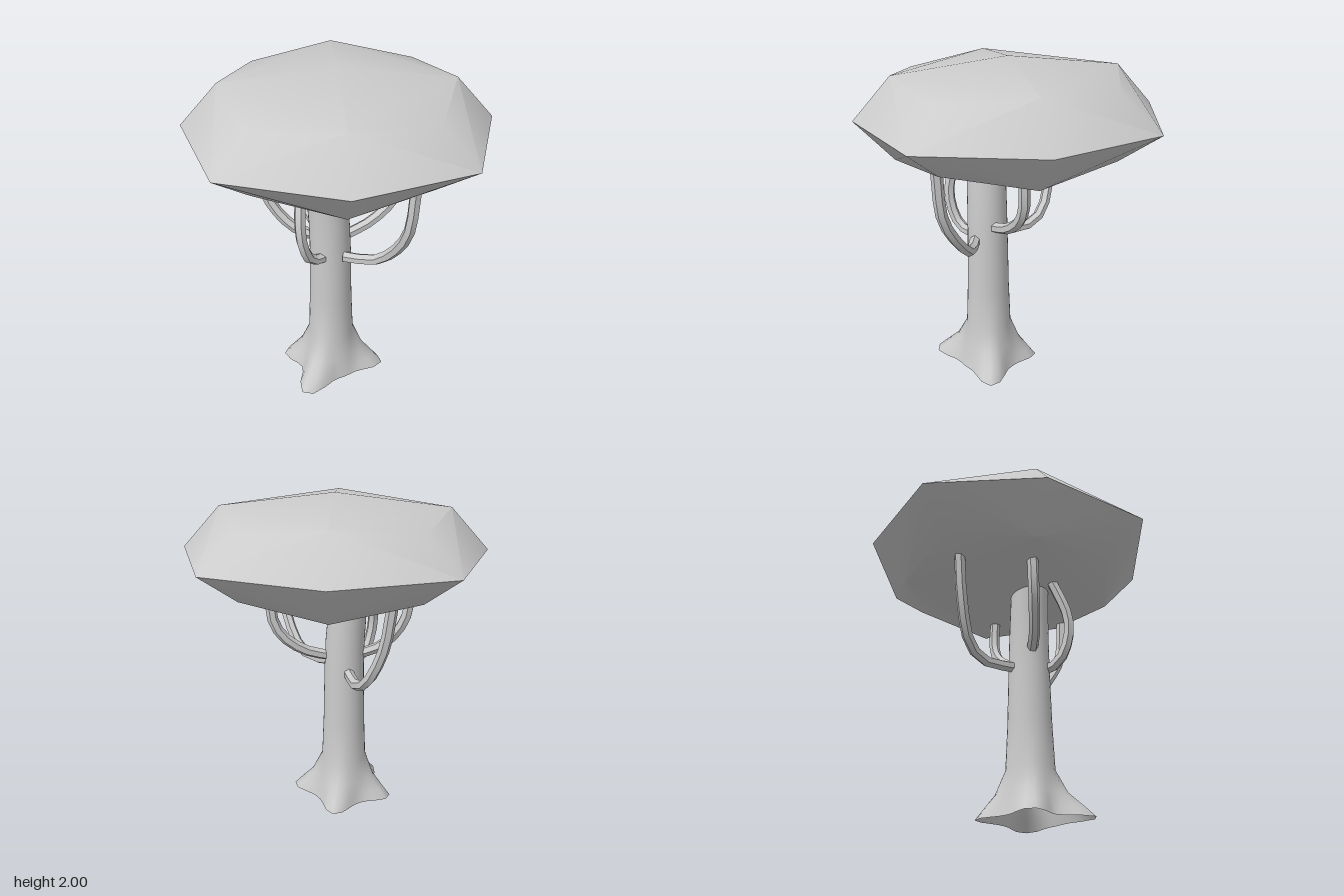
import * as THREE from 'three';
import { mergeVertices, toCreasedNormals } from 'three/addons/utils/BufferGeometryUtils.js';
import { ConvexGeometry } from 'three/addons/geometries/ConvexGeometry.js';

const grey = new THREE.MeshStandardMaterial({ color: 0xcccccc, side: THREE.DoubleSide });

// Canopy: a once-subdivided cube puffed into a squashed, eight-sided cushion
function makeCanopy() {
  const points = [];
  const spread = [0, 0.873, 0.655, 0.485];
  const rise = [0, 0.315, 0.238, 0.18];
  for (let x = -1; x <= 1; x++)
    for (let y = -1; y <= 1; y++)
      for (let z = -1; z <= 1; z++) {
        const n = Math.abs(x) + Math.abs(y) + Math.abs(z);
        if (n) points.push(new THREE.Vector3(x * spread[n], 1.685 + y * rise[n], z * spread[n]));
      }
  return toCreasedNormals(new ConvexGeometry(points), 0.6);
}

// Trunk: stacked rings that flare into four uneven roots and lean at the top
const roots = [ // angle in degrees, extra reach at the ground
  [10, 0.14], [120, 0.17], [195, 0.12], [280, 0.11],
];
const rings = [ // y, radius, root strength, centre x
  [0, 0.2, 1, -0.055], [0.06, 0.185, 0.72, -0.055], [0.14, 0.17, 0.28, -0.055],
  [0.28, 0.142, 0, -0.055], [0.55, 0.131, 0, -0.055], [0.9, 0.124, 0, -0.055],
  [1.08, 0.121, 0, -0.06], [1.25, 0.118, 0, -0.072], [1.45, 0.116, 0, -0.095],
];
function makeTrunk() {
  const sides = 32, pos = [], index = [];
  rings.forEach(([y, radius, strength, cx], r) => {
    for (let s = 0; s < sides; s++) {
      const a = (s / sides) * Math.PI * 2;
      let reach = radius;
      for (const [deg, extra] of roots) {
        const d = a - THREE.MathUtils.degToRad(deg);
        const off = Math.atan2(Math.sin(d), Math.cos(d));
        reach += strength * extra * Math.exp(-(off * off) / 0.13);
      }
      pos.push(cx + Math.cos(a) * reach, y, 0.115 + Math.sin(a) * reach);
      if (r < rings.length - 1) {
        const i = r * sides + s, j = r * sides + ((s + 1) % sides);
        index.push(i, i + sides, j, j, i + sides, j + sides);
      }
    }
  });
  const geo = new THREE.BufferGeometry();
  geo.setAttribute('position', new THREE.Float32BufferAttribute(pos, 3));
  geo.setIndex(index);
  geo.computeVertexNormals();
  return geo;
}

// Branches: capped six-sided limbs that leave the trunk and turn up into the canopy
const branchPaths = [
  [[0.02, 0.9, 0.21], [0.18, 0.91, 0.27], [0.26, 0.98, 0.33], [0.35, 1.2, 0.45], [0.375, 1.53, 0.48]],
  [[-0.09, 0.9, 0.2], [-0.17, 0.92, 0.26], [-0.22, 1.05, 0.31], [-0.235, 1.2, 0.31], [-0.22, 1.44, 0.22]],
  [[0.03, 0.98, 0.1], [0.18, 1.03, 0.05], [0.31, 1.13, 0.01], [0.37, 1.24, 0], [0.385, 1.48, 0.01]],
  [[-0.08, 0.9, 0.03], [-0.14, 0.9, -0.18], [-0.2, 0.97, -0.28], [-0.29, 1.2, -0.35], [-0.33, 1.48, -0.38]],
  [[-0.13, 0.99, 0.11], [-0.26, 1.04, 0.09], [-0.37, 1.15, 0.06], [-0.43, 1.27, 0.04], [-0.45, 1.48, 0.03]],
];
function makeBranch(path) {
  const hexagon = new THREE.Shape();
  for (let i = 0; i < 6; i++) {
    const a = (i / 6) * Math.PI * 2;
    hexagon[i ? 'lineTo' : 'moveTo'](Math.cos(a) * 0.033, Math.sin(a) * 0.033);
  }
  hexagon.closePath();
  const curve = new THREE.CatmullRomCurve3(path.map((p) => new THREE.Vector3(...p)));
  const geo = new THREE.ExtrudeGeometry(hexagon, { steps: 9, extrudePath: curve, bevelEnabled: false });
  geo.deleteAttribute('uv');
  geo.deleteAttribute('normal');
  return toCreasedNormals(mergeVertices(geo), 0.6);
}

export function createModel() {
  const tree = new THREE.Group();
  tree.name = 'tree';
  const add = (geometry, name) => {
    const mesh = new THREE.Mesh(geometry, grey);
    mesh.name = name;
    tree.add(mesh);
  };
  add(makeCanopy(), 'canopy');
  add(makeTrunk(), 'trunk');
  branchPaths.forEach((path, i) => add(makeBranch(path), `branch${i + 1}`));
  return tree;
}
